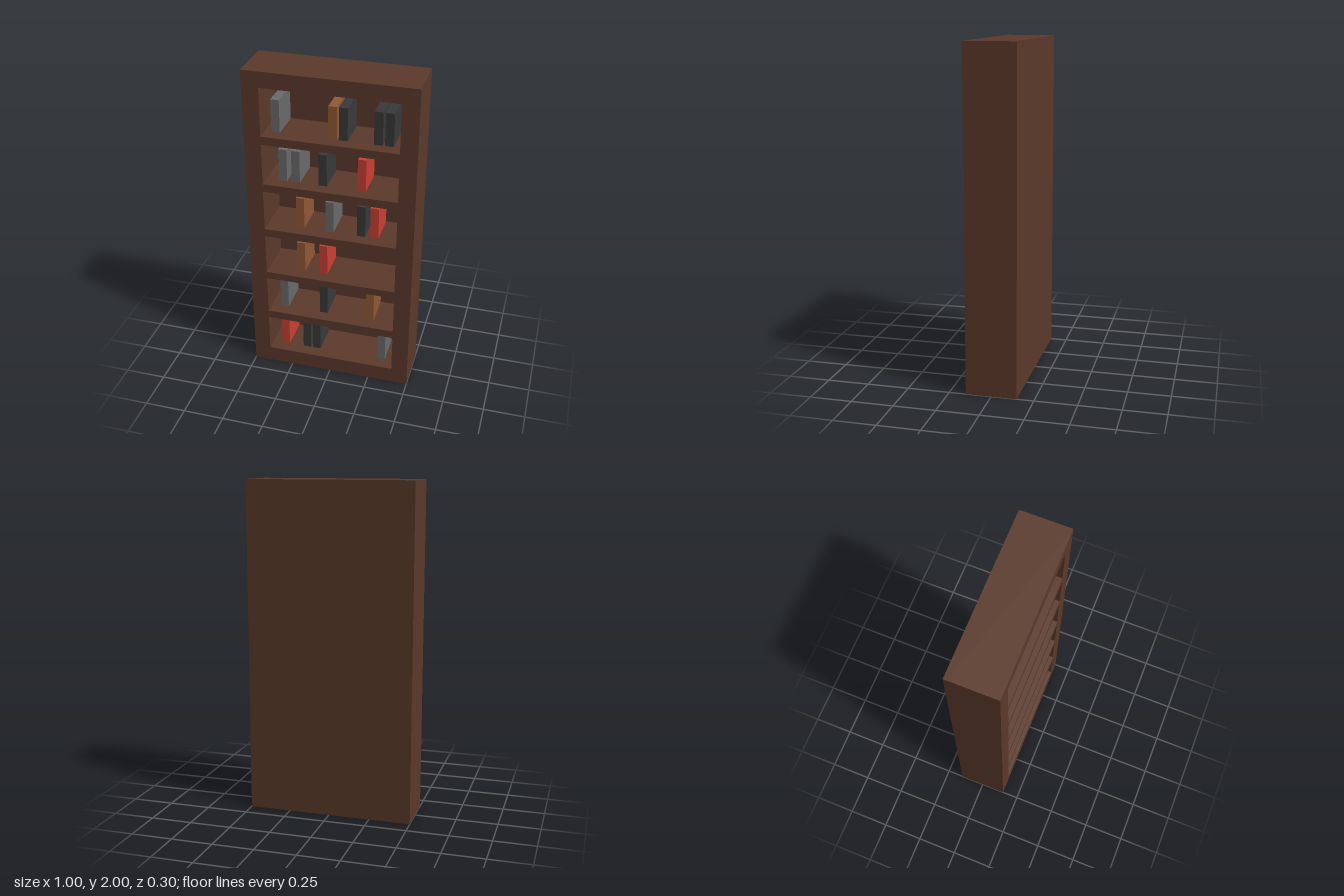
import * as THREE from 'three';

const material = (name, color) => new THREE.MeshStandardMaterial({ name, color });

export function createModel() {
  const wood = material('dark wood', 0x5c3a2b);
  const covers = {
    grey: material('grey cover', 0x6b6b6b),
    black: material('black cover', 0x3a3a3a),
    brown: material('brown cover', 0x945a35),
    red: material('red cover', 0xcc4035),
  };
  const model = new THREE.Group();
  model.name = 'bookcase';

  // Each shelf: floor height, ceiling height, and its books as [x, cover]
  const shelves = [
    [0.10, 0.345, [[-0.315, 'red'], [-0.172, 'black'], [-0.108, 'black'], [0.315, 'grey']]],
    [0.395, 0.645, [[-0.315, 'grey'], [-0.06, 'black'], [0.235, 'brown']]],
    [0.69, 0.95, [[-0.2, 'brown'], [-0.06, 'red']]],
    [1.0, 1.255, [[-0.2, 'brown'], [-0.02, 'grey'], [0.172, 'black'], [0.252, 'red']]],
    [1.305, 1.56, [[-0.3, 'grey'], [-0.222, 'grey'], [-0.06, 'black'], [0.172, 'red']]],
    [1.61, 1.905, [[-0.335, 'grey'], [0, 'brown'], [0.062, 'black'], [0.262, 'black'], [0.325, 'black']]],
  ];

  const rectangle = (PathType, x0, y0, x1, y1) => new PathType([
    new THREE.Vector2(x0, y0), new THREE.Vector2(x1, y0),
    new THREE.Vector2(x1, y1), new THREE.Vector2(x0, y1),
  ]);

  // Solid front frame with one opening per shelf
  const outline = rectangle(THREE.Shape, -0.5, 0, 0.5, 2);
  for (const [floor, ceiling] of shelves) {
    outline.holes.push(rectangle(THREE.Path, -0.4, floor, 0.4, ceiling));
  }
  const frame = new THREE.Mesh(
    new THREE.ExtrudeGeometry(outline, { depth: 0.28, bevelEnabled: false }), wood);
  frame.name = 'frame';
  frame.position.z = -0.13;
  model.add(frame);

  // Back panel closing the openings
  const back = new THREE.Mesh(new THREE.BoxGeometry(1, 2, 0.02), wood);
  back.name = 'backPanel';
  back.position.set(0, 1, -0.14);
  model.add(back);

  // Books standing on the shelf floors
  const bookGeometry = new THREE.BoxGeometry(0.05, 0.2, 0.2);
  shelves.forEach(([floor, , books], i) => {
    const row = new THREE.Group();
    row.name = `bookRow${i + 1}`;
    for (const [x, cover] of books) {
      const book = new THREE.Mesh(bookGeometry, covers[cover]);
      book.name = `${cover}Book`;
      book.position.set(x, floor + 0.1, -0.025);
      row.add(book);
    }
    model.add(row);
  });

  return model;
}
